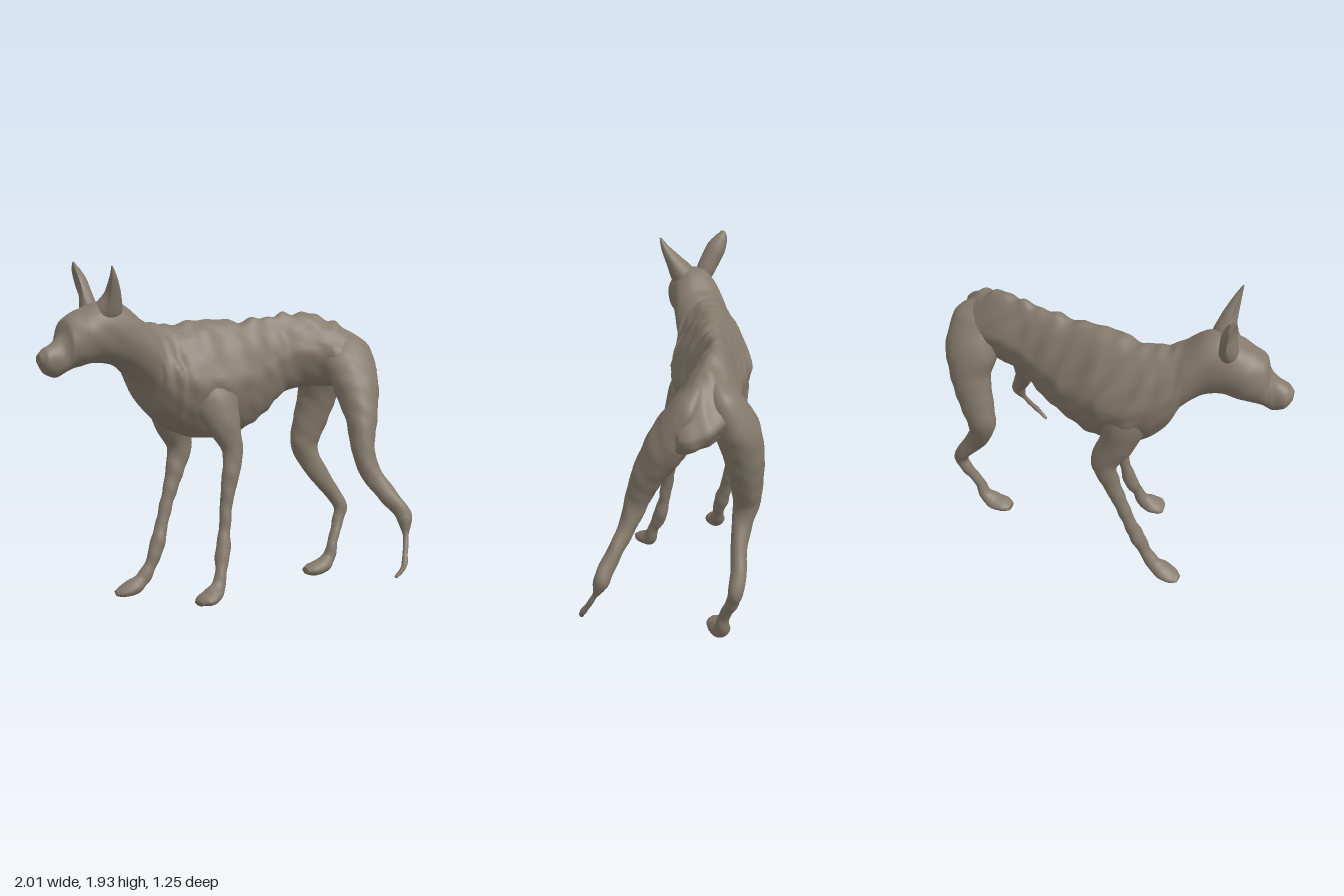
import * as THREE from 'three';

const LATERAL = new THREE.Vector3(0.46, 0, 0.89); // sideways axis of the animal
const UP = new THREE.Vector3(0, 1, 0);

// Loft through stations [x, y, z, halfWidth, halfHeight].
// upright: rings stay vertical; shape(a, s) returns ring offsets; bump(p, a, s) returns swelling.
function loft(stations, { upright = false, rings = 8, sides = 20, shape, bump } = {}) {
  const path = new THREE.CatmullRomCurve3(stations.map(p => new THREE.Vector3(p[0], p[1], p[2])));
  const size = new THREE.CatmullRomCurve3(stations.map(p => new THREE.Vector3(p[3], p[4] ?? p[3], 0)));
  const n = (stations.length - 1) * rings;
  const pos = [], index = [];
  for (let i = 0; i <= n; i++) {
    const s = i / n;
    const c = path.getPoint(s), r = size.getPoint(s), t = path.getTangent(s);
    let u, v;
    if (upright) {
      t.setY(0).normalize();
      v = UP.clone();
      u = UP.clone().cross(t);
    } else {
      u = LATERAL.clone().addScaledVector(t, -LATERAL.dot(t)).normalize();
      v = t.clone().cross(u);
    }
    for (let j = 0; j < sides; j++) {
      const a = (j / sides) * Math.PI * 2;
      const [ca, sa] = shape ? shape(a, s) : [Math.cos(a), Math.sin(a)];
      const p = c.clone().addScaledVector(u, ca * r.x).addScaledVector(v, sa * r.y);
      if (bump) {
        const out = p.clone().sub(c).normalize();
        p.addScaledVector(out, bump(p, a, s));
      }
      pos.push(p.x, p.y, p.z);
    }
  }
  for (let i = 0; i < n; i++) {
    for (let j = 0; j < sides; j++) {
      const k = (j + 1) % sides;
      const a = i * sides + j, b = i * sides + k, c = a + sides, d = b + sides;
      index.push(a, b, c, b, d, c);
    }
  }
  // end caps
  const first = pos.length / 3, last = first + 1;
  const [p0, p1] = [path.getPoint(0), path.getPoint(1)];
  pos.push(p0.x, p0.y, p0.z, p1.x, p1.y, p1.z);
  for (let j = 0; j < sides; j++) {
    const k = (j + 1) % sides;
    index.push(first, k, j, last, n * sides + j, n * sides + k);
  }
  const g = new THREE.BufferGeometry();
  g.setAttribute('position', new THREE.Float32BufferAttribute(pos, 3));
  g.setIndex(index);
  g.computeVertexNormals();
  return g;
}

// soft lumpy hide
const lumps = p =>
  Math.sin(p.x * 31 + p.y * 17) * Math.sin(p.y * 27 - p.z * 23) * Math.sin(p.z * 29 + p.x * 11 + 1);

export function createModel() {
  const model = new THREE.Group();
  const hide = new THREE.MeshStandardMaterial({ color: 0x857a6c });
  hide.name = 'greyBrownHide';
  const add = (name, geometry) => {
    const mesh = new THREE.Mesh(geometry, hide);
    mesh.name = name;
    model.add(mesh);
  };

  // head, neck and trunk: x, z, top, bottom, half width
  const trunk = [
    [-0.99, 0.60, 1.46, 1.41, 0.03],
    [-0.965, 0.58, 1.49, 1.36, 0.062],
    [-0.92, 0.545, 1.525, 1.335, 0.068],
    [-0.895, 0.52, 1.56, 1.35, 0.08],
    [-0.875, 0.50, 1.635, 1.365, 0.105],
    [-0.81, 0.44, 1.685, 1.39, 0.135],
    [-0.72, 0.375, 1.725, 1.40, 0.14],
    [-0.64, 0.31, 1.72, 1.37, 0.145],
    [-0.56, 0.23, 1.64, 1.28, 0.165],
    [-0.49, 0.155, 1.60, 1.09, 0.195],
    [-0.38, 0.075, 1.59, 0.98, 0.23],
    [-0.22, 0.005, 1.61, 0.935, 0.23],
    [-0.03, -0.09, 1.60, 0.955, 0.19],
    [0.12, -0.18, 1.61, 1.045, 0.145],
    [0.25, -0.25, 1.63, 1.17, 0.12],
    [0.40, -0.31, 1.63, 1.20, 0.145],
    [0.55, -0.335, 1.58, 1.20, 0.17],
    [0.67, -0.315, 1.49, 1.20, 0.16],
    [0.745, -0.285, 1.40, 1.20, 0.115],
    [0.775, -0.265, 1.35, 1.23, 0.06],
  ].map(([x, z, top, bottom, w]) => [x, (top + bottom) / 2, z, w, (top - bottom) / 2]);

  add('headAndTrunk', loft(trunk, {
    upright: true,
    sides: 56,
    rings: 12,
    // flanks narrow towards the bony back and the belly
    shape: (a, s) => {
      const c = Math.cos(a), sn = Math.sin(a);
      const body = THREE.MathUtils.smoothstep(s, 0.4, 0.54);
      const pinch = body * (sn > 0 ? 0.4 * sn : 0.15 * -sn);
      return [Math.sign(c) * Math.abs(c) ** 0.9 * (1 - pinch), sn];
    },
    bump: (p, a, s) => {
      const body = THREE.MathUtils.smoothstep(s, 0.4, 0.52);
      const ribZone = body * (1 - THREE.MathUtils.smoothstep(s, 0.68, 0.8));
      const flank = Math.cos(a) ** 2;
      const ribs = 0.006 * Math.sin(s * 150 + Math.sin(a) * 2.5 + Math.sin(p.y * 14)) * flank * ribZone;
      const spine = 0.007 * Math.max(0, Math.sin(a)) ** 12 * (Math.sin(s * 105) + Math.sin(s * 173)) * body;
      return ribs + spine + lumps(p) * (0.004 + 0.005 * body);
    },
  }));

  // ears: full at the root, opening into a shell towards the front
  const ear = (name, stations) => add(name, loft(stations, {
    shape: (a, s) => {
      const front = THREE.MathUtils.lerp(0.9, -0.1, THREE.MathUtils.smoothstep(s, 0.1, 0.55));
      return [Math.cos(a), Math.sin(a) * (Math.sin(a) < 0 ? front : 1)];
    },
  }));
  ear('farEar', [
    [-0.76, 1.62, 0.34, 0.045, 0.045], [-0.80, 1.71, 0.315, 0.058, 0.055],
    [-0.845, 1.81, 0.28, 0.06, 0.055], [-0.875, 1.89, 0.25, 0.038, 0.035], [-0.88, 1.93, 0.24, 0.01, 0.01],
  ]);
  ear('nearEar', [
    [-0.70, 1.57, 0.36, 0.05, 0.08], [-0.675, 1.68, 0.415, 0.075, 0.095],
    [-0.645, 1.77, 0.465, 0.05, 0.07], [-0.62, 1.85, 0.51, 0.025, 0.035], [-0.61, 1.91, 0.535, 0.006, 0.006],
  ]);

  // legs, from the trunk down to the toes
  const leg = (name, stations) => add(name, loft(stations, { bump: p => lumps(p) * 0.005 }));
  leg('nearFrontLeg', [
    [-0.20, 1.48, 0.04, 0.03, 0.05], [-0.17, 1.34, 0.085, 0.08, 0.13], [-0.125, 1.18, 0.12, 0.09, 0.135],
    [-0.07, 1.04, 0.145, 0.075, 0.10],
    [-0.02, 0.89, 0.15, 0.05, 0.06], [-0.03, 0.75, 0.18, 0.045, 0.05], [-0.05, 0.60, 0.205, 0.036],
    [-0.06, 0.45, 0.235, 0.032], [-0.065, 0.33, 0.27, 0.042], [-0.075, 0.22, 0.32, 0.032],
    [-0.09, 0.14, 0.36, 0.045], [-0.125, 0.11, 0.40, 0.066, 0.042], [-0.16, 0.10, 0.435, 0.062, 0.03],
    [-0.18, 0.09, 0.455, 0.035, 0.015],
  ]);
  leg('farFrontLeg', [
    [-0.38, 1.48, 0.02, 0.03, 0.05], [-0.41, 1.34, -0.01, 0.09, 0.13], [-0.425, 1.20, -0.035, 0.095, 0.135],
    [-0.40, 1.03, -0.065, 0.085, 0.10],
    [-0.355, 0.87, -0.12, 0.058, 0.078], [-0.38, 0.72, -0.09, 0.045, 0.055], [-0.42, 0.55, -0.04, 0.038],
    [-0.445, 0.42, 0.0, 0.036], [-0.47, 0.30, 0.04, 0.044], [-0.50, 0.20, 0.075, 0.035],
    [-0.55, 0.11, 0.11, 0.042], [-0.60, 0.075, 0.145, 0.064, 0.045], [-0.66, 0.055, 0.175, 0.055, 0.03],
    [-0.69, 0.05, 0.19, 0.03, 0.015],
  ]);
  leg('farHindLeg', [
    [0.51, 1.54, -0.345, 0.03, 0.06], [0.51, 1.42, -0.405, 0.10, 0.16], [0.485, 1.28, -0.475, 0.115, 0.165],
    [0.46, 1.12, -0.51, 0.105, 0.125], [0.42, 0.97, -0.51, 0.09, 0.11], [0.385, 0.82, -0.50, 0.075, 0.09],
    [0.42, 0.71, -0.495, 0.055, 0.07], [0.50, 0.59, -0.51, 0.045, 0.055], [0.575, 0.48, -0.545, 0.042, 0.048],
    [0.615, 0.40, -0.55, 0.04, 0.043], [0.60, 0.31, -0.52, 0.033], [0.57, 0.20, -0.465, 0.03],
    [0.545, 0.10, -0.44, 0.04], [0.50, 0.055, -0.405, 0.06, 0.045], [0.44, 0.045, -0.36, 0.06, 0.038],
    [0.40, 0.04, -0.335, 0.035, 0.02],
  ]);
  leg('nearHindLeg', [
    [0.56, 1.52, -0.325, 0.03, 0.06], [0.63, 1.38, -0.27, 0.09, 0.16], [0.68, 1.22, -0.195, 0.11, 0.14],
    [0.71, 1.04, -0.095, 0.085, 0.095], [0.72, 0.88, -0.03, 0.065, 0.068], [0.76, 0.75, 0.0, 0.05, 0.062],
    [0.85, 0.63, 0.03, 0.042, 0.052], [0.93, 0.54, 0.05, 0.042, 0.045], [0.96, 0.49, 0.06, 0.045, 0.045],
    [0.963, 0.41, 0.09, 0.02], [0.96, 0.32, 0.145, 0.015], [0.945, 0.24, 0.20, 0.018],
    [0.90, 0.19, 0.23, 0.008],
  ]);
  return model;
}
